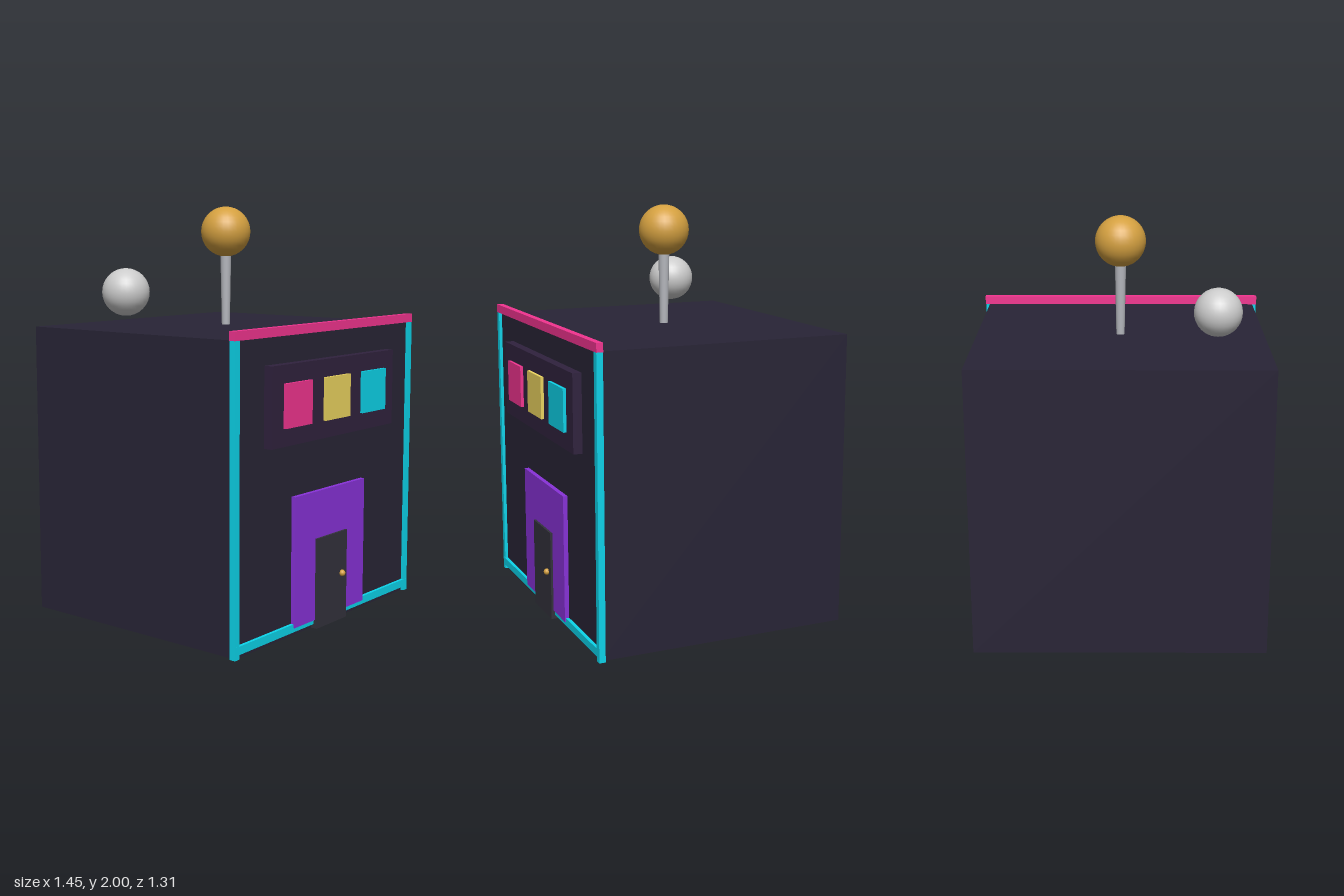
import * as THREE from 'three';

const FRONT = 0.597; // z of the facade
const MID = -0.03;   // z of the building's centre

const paint = (color) => new THREE.MeshStandardMaterial({ color });

export function createModel() {
  const model = new THREE.Group();
  const dark = paint(0x282436), pink = paint(0xf23490), cyan = paint(0x0cd4ea);
  const yellow = paint(0xecd45f), gold = paint(0xd4a040), violet = paint(0x8832d8);

  const add = (name, geometry, material, x, y, z) => {
    const mesh = new THREE.Mesh(geometry, material);
    mesh.name = name;
    mesh.position.set(x, y, z);
    model.add(mesh);
    return mesh;
  };
  // Box given by its centre x, bottom and top y, back and front z
  const box = (name, material, x, width, y0, y1, z0, z1) =>
    add(name, new THREE.BoxGeometry(width, y1 - y0, z1 - z0), material, x, (y0 + y1) / 2, (z0 + z1) / 2);
  const ball = (name, material, r, x, y, z, segments = 32) =>
    add(name, new THREE.SphereGeometry(r, segments, segments / 2), material, x, y, z);

  // Main block
  box('building', dark, 0, 1.41, 0, 1.417, 2 * MID - FRONT + 0.002, FRONT);

  // Glowing strips around the facade
  box('roofTrim', pink, 0, 1.454, 1.417, 1.459, FRONT - 0.016, FRONT + 0.016);
  box('baseTrim', cyan, 0, 1.446, 0.021, 0.06, FRONT - 0.016, FRONT + 0.016);
  for (const side of [-1, 1]) {
    box(side > 0 ? 'leftTrim' : 'rightTrim', cyan, side * 0.709, 0.032, 0, 1.417, FRONT - 0.0155, FRONT + 0.0155);
  }

  // Sign panel with three coloured squares
  box('signPanel', paint(0x30223e), 0, 1.0, 0.92, 1.292, FRONT - 0.01, 0.641);
  [pink, yellow, cyan].forEach((material, i) =>
    box('signSquare', material, (i - 1) * 0.312, 0.203, 1.004, 1.208, 0.63, 0.656));

  // Entrance surround, door and knob
  box('entrance', violet, 0, 0.578, 0.042, 0.667, FRONT - 0.01, 0.619);
  box('door', paint(0x33323c), 0, 0.25, 0, 0.44, FRONT - 0.01, 0.63);
  ball('doorKnob', gold, 0.016, 0.08, 0.232, 0.635, 16);

  // Roof pole, wider at the top, with a gold globe
  add('pole', new THREE.CylinderGeometry(0.028, 0.02, 0.42, 16), paint(0xb4b6bc), 0, 1.61, MID);
  ball('goldGlobe', gold, 0.123, 0, 1.877, MID);

  // Pale globe floating over the roof
  ball('paleGlobe', paint(0xe6e6e6), 0.115, -0.46, 1.588, -0.278);

  return model;
}
